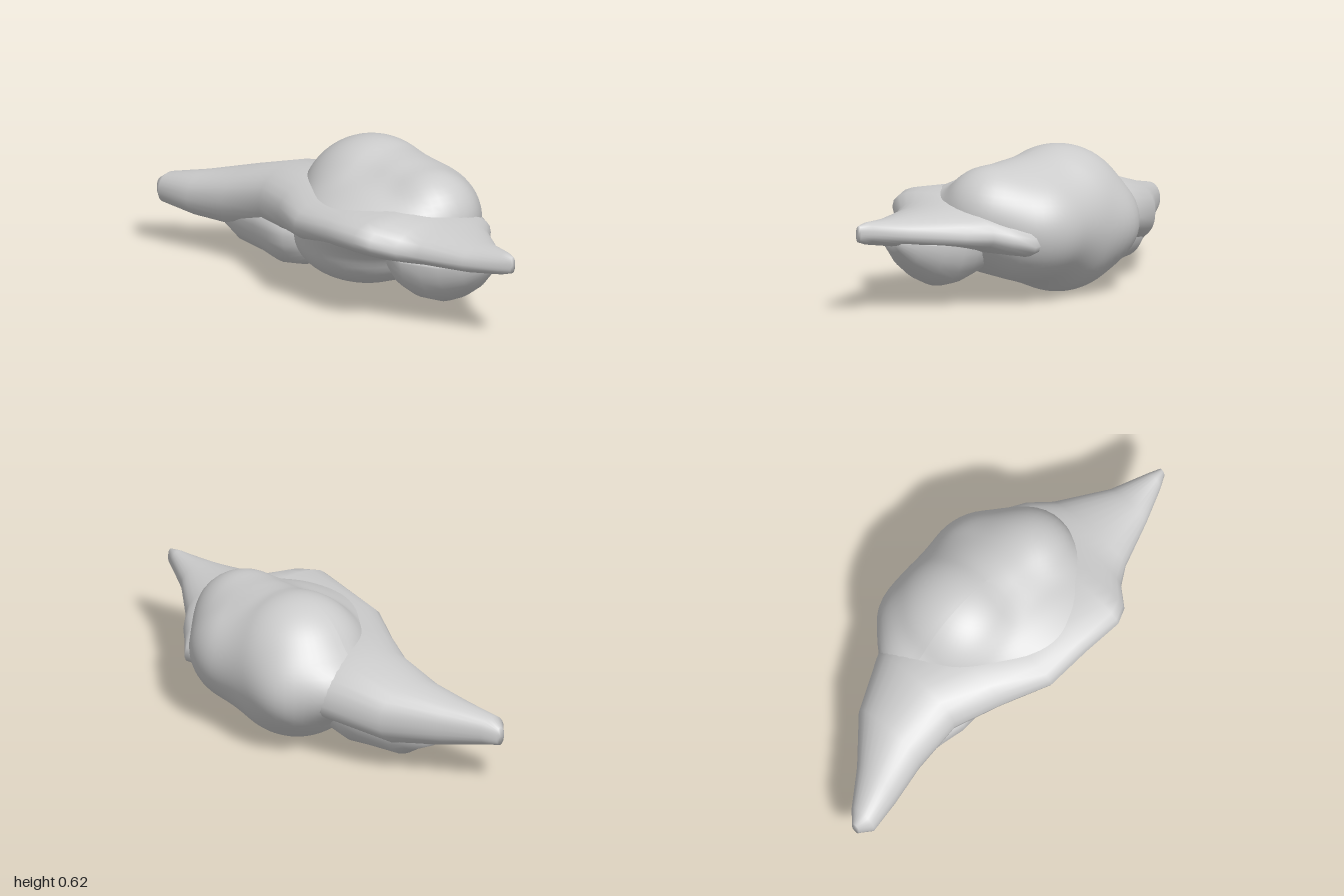
import * as THREE from 'three';

const material = new THREE.MeshStandardMaterial({ color: 0xcccccc, roughness: 0.9 });

// Skins lens-shaped cross-sections placed along x.
// Each section: [x, front z, front y, back z, back y, top y, bottom y]
function loft(sections, power, sides = 28) {
  const pos = [], idx = [];
  const ring = ([x, zf, yf, zb, yb, top, bottom], scale = 1) => {
    const zc = (zf + zb) / 2, half = (zf - zb) / 2, mid = (yf + yb) / 2;
    for (let j = 0; j < sides; j++) {
      const a = (j / sides) * Math.PI * 2, c = Math.cos(a), s = Math.sin(a);
      const edge = (c * (yf - yb)) / 2;
      const rise = Math.pow(Math.abs(s), power) * (s > 0 ? top - mid : bottom - mid);
      pos.push(x, mid + (edge + rise) * scale, zc + c * half * scale);
    }
  };
  ring(sections[0], 0);
  sections.forEach((s) => ring(s));
  ring(sections[sections.length - 1], 0);
  for (let i = 0; i < sections.length + 1; i++) {
    for (let j = 0; j < sides; j++) {
      const k = (j + 1) % sides;
      const a = i * sides + j, b = a + sides, c = i * sides + k, d = c + sides;
      idx.push(a, b, c, c, b, d);
    }
  }
  const g = new THREE.BufferGeometry();
  g.setAttribute('position', new THREE.Float32BufferAttribute(pos, 3));
  g.setIndex(idx);
  g.computeVertexNormals();
  return g;
}

// Ellipsoids that melt together into the body: [center, radii]
const masses = [
  [[-0.04, 0.31, -0.1], [0.31, 0.31, 0.3]], // main dome
  [[-0.17, 0.29, -0.2], [0.17, 0.17, 0.19]], // right rear
  [[-0.28, 0.31, -0.12], [0.15, 0.13, 0.16]], // right shoulder
  [[0.18, 0.31, -0.14], [0.28, 0.24, 0.275]], // left rear
  [[0.33, 0.37, -0.07], [0.215, 0.2, 0.21]], // upper left
  [[0.16, 0.39, -0.08], [0.2, 0.185, 0.2]], // saddle between the domes
  [[0.08, 0.25, 0.06], [0.31, 0.185, 0.28]], // belly
  [[0.14, 0.4, 0.1], [0.26, 0.1, 0.15]], // front slope
  [[0.2, 0.35, 0.15], [0.3, 0.1, 0.23]], // front shelf
];

// Smooth union of the masses, negative inside
function field(x, y, z) {
  const k = 0.06;
  let d = 1;
  for (const [c, r] of masses) {
    const q = Math.hypot((x - c[0]) / r[0], (y - c[1]) / r[1], (z - c[2]) / r[2]);
    const e = (q - 1) * Math.min(...r);
    const h = Math.max(k - Math.abs(d - e), 0) / k;
    d = Math.min(d, e) - (h * h * k) / 4;
  }
  return d;
}

// Pushes every point of a sphere out to the surface of the joined masses
function bodyGeometry() {
  const g = new THREE.SphereGeometry(1, 72, 48);
  const p = g.attributes.position;
  const center = new THREE.Vector3(0.08, 0.3, -0.06);
  const dir = new THREE.Vector3(), v = new THREE.Vector3();
  for (let i = 0; i < p.count; i++) {
    dir.fromBufferAttribute(p, i);
    let lo = 0, hi = 0.7;
    for (let n = 0; n < 18; n++) {
      const mid = (lo + hi) / 2;
      v.copy(center).addScaledVector(dir, mid);
      if (field(v.x, v.y, v.z) < 0) lo = mid;
      else hi = mid;
    }
    v.copy(center).addScaledVector(dir, lo);
    p.setXYZ(i, v.x, Math.max(v.y, 0), v.z);
  }
  g.computeVertexNormals();
  return g;
}

export function createModel() {
  const model = new THREE.Group();
  const add = (name, geometry) => {
    const mesh = new THREE.Mesh(geometry, material);
    mesh.name = name;
    model.add(mesh);
  };

  add('body', bodyGeometry());

  // Flat brim that tapers into a pointed wing at each end
  add('wingedBrim', loft([
    [-1.0, 0.23, 0.24, 0.19, 0.24, 0.28, 0.2],
    [-0.95, 0.27, 0.24, 0.14, 0.25, 0.315, 0.185],
    [-0.8, 0.25, 0.24, 0.03, 0.25, 0.345, 0.15],
    [-0.62, 0.22, 0.26, -0.13, 0.26, 0.39, 0.125],
    [-0.4, 0.215, 0.3, -0.235, 0.28, 0.45, 0.17],
    [-0.2, 0.295, 0.32, -0.3, 0.28, 0.455, 0.19],
    [0.0, 0.39, 0.34, -0.3, 0.28, 0.44, 0.21],
    [0.2, 0.4, 0.36, -0.33, 0.27, 0.44, 0.22],
    [0.38, 0.415, 0.37, -0.36, 0.26, 0.44, 0.22],
    [0.45, 0.385, 0.36, -0.3, 0.28, 0.435, 0.23],
    [0.52, 0.3, 0.33, -0.25, 0.3, 0.425, 0.24],
    [0.6, 0.25, 0.32, -0.17, 0.3, 0.41, 0.25],
    [0.8, 0.18, 0.32, -0.03, 0.32, 0.39, 0.27],
    [0.95, 0.12, 0.33, 0.04, 0.34, 0.39, 0.295],
    [1.0, 0.095, 0.34, 0.065, 0.345, 0.38, 0.31],
  ], 0.88));

  // Keels hanging below the wings
  add('rightUnderLobe', loft([
    [-0.72, 0.16, 0.23, 0.0, 0.23, 0.26, 0.13],
    [-0.65, 0.18, 0.22, -0.06, 0.22, 0.27, 0.095],
    [-0.6, 0.18, 0.2, -0.08, 0.2, 0.28, 0.06],
    [-0.45, 0.2, 0.2, -0.12, 0.2, 0.3, 0.045],
    [-0.35, 0.22, 0.2, -0.14, 0.2, 0.3, 0.027],
    [-0.25, 0.22, 0.2, -0.14, 0.2, 0.3, 0.045],
    [-0.15, 0.15, 0.2, -0.1, 0.2, 0.3, 0.1],
  ], 0.9));
  add('leftUnderLobe', loft([
    [0.35, 0.2, 0.27, -0.12, 0.27, 0.31, 0.13],
    [0.42, 0.24, 0.27, -0.14, 0.27, 0.31, 0.1],
    [0.5, 0.25, 0.27, -0.15, 0.27, 0.31, 0.08],
    [0.58, 0.22, 0.27, -0.14, 0.27, 0.31, 0.08],
    [0.66, 0.19, 0.27, -0.1, 0.27, 0.31, 0.115],
    [0.75, 0.14, 0.28, -0.04, 0.28, 0.31, 0.175],
    [0.82, 0.1, 0.29, 0.0, 0.29, 0.31, 0.25],
  ], 1));

  return model;
}
